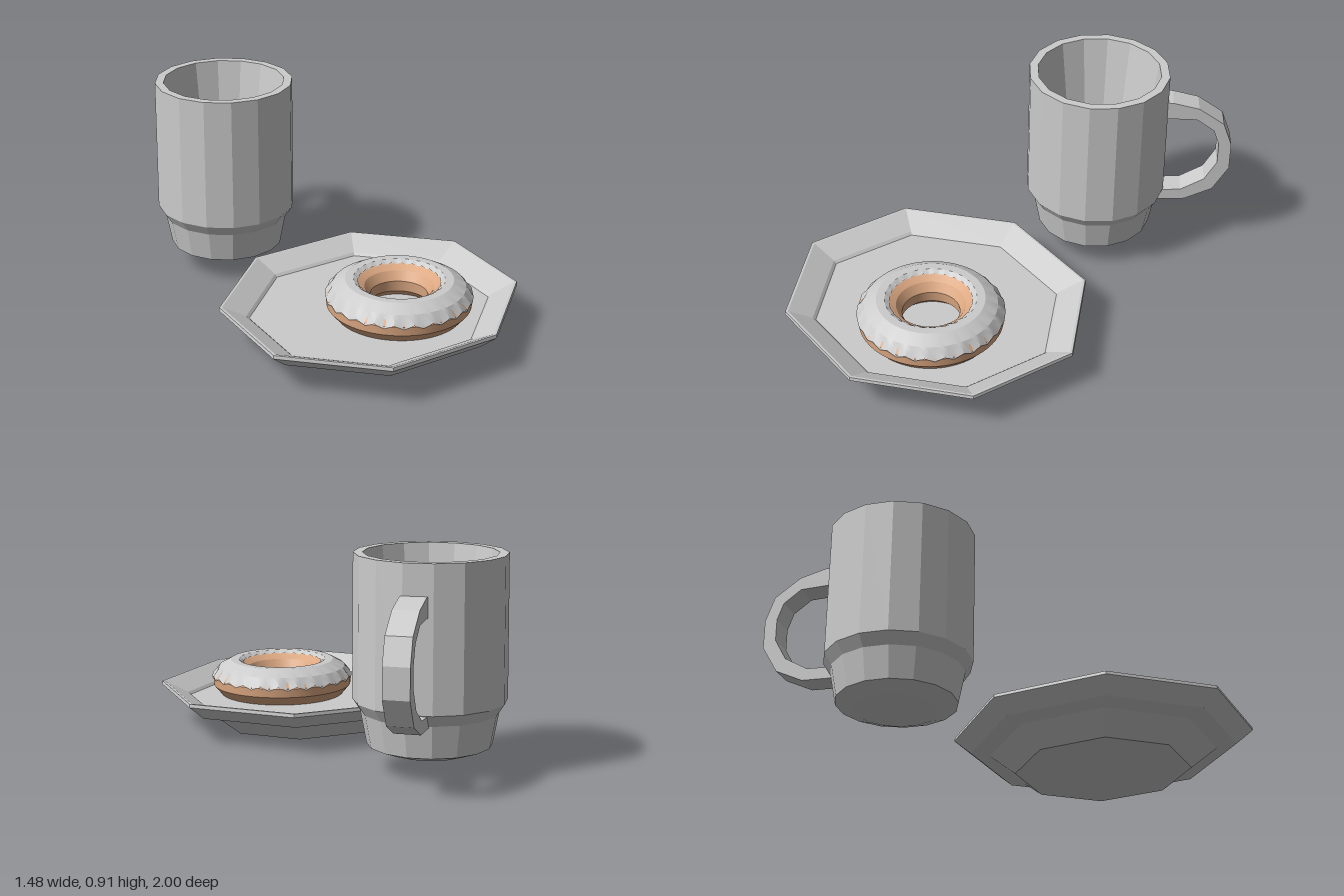
import * as THREE from 'three';
import { toCreasedNormals } from 'three/addons/utils/BufferGeometryUtils.js';

const material = (color, options = {}) => new THREE.MeshStandardMaterial({ color, ...options });

// Revolves [radius, height] pairs; going up on the outside faces outward
const lathe = (profile, sides) =>
  new THREE.LatheGeometry(profile.map(([r, y]) => new THREE.Vector2(r, y)), sides);

function addMesh(parent, name, geometry, mat) {
  const mesh = new THREE.Mesh(geometry, mat);
  mesh.name = name;
  parent.add(mesh);
  return mesh;
}

function createPlate(grey) {
  const profile = [
    [0, 0], [0.41, 0], [0.53, 0.088], [0.62, 0.105], [0.7, 0.168], [0.697, 0.183],
    [0.685, 0.183], [0.575, 0.13], [0.562, 0.118], [0, 0.118],
  ];
  const group = new THREE.Group();
  group.name = 'plate';
  // Octagon slightly squashed from front to back
  addMesh(group, 'plateBody', lathe(profile, 8), grey).scale.z = 0.918;
  group.position.set(-0.04, 0, 0.355);
  return group;
}

function createMug(grey) {
  const group = new THREE.Group();
  group.name = 'mug';

  // Hollow cup with a narrower foot
  const profile = [
    [0, 0.08], [0.18, 0.08], [0.262, 0.11], [0.289, 0.25], [0.322, 0.3], [0.319, 0.91],
    [0.28, 0.91], [0.165, 0.13], [0, 0.13],
  ];
  addMesh(group, 'mugBody', lathe(profile, 16), grey);

  // Angular handle: outer edge downwards, inner edge back up
  const outline = [
    [0.29, 0.78], [0.34, 0.778], [0.457, 0.75], [0.574, 0.67], [0.615, 0.56], [0.615, 0.43],
    [0.545, 0.31], [0.42, 0.25], [0.27, 0.243],
    [0.27, 0.295], [0.4, 0.303], [0.505, 0.365], [0.558, 0.46], [0.558, 0.56],
    [0.53, 0.635], [0.45, 0.692], [0.29, 0.695],
  ];
  const shape = new THREE.Shape(outline.map(([x, y]) => new THREE.Vector2(x, y)));
  const handle = new THREE.ExtrudeGeometry(shape, { depth: 0.11, bevelEnabled: false });
  handle.translate(0, 0, -0.055);
  addMesh(group, 'mugHandle', handle, grey).rotation.y = THREE.MathUtils.degToRad(31);

  group.position.set(0.182, 0, -0.634);
  return group;
}

function createDoughnut() {
  const group = new THREE.Group();
  group.name = 'doughnut';

  // Faceted ring section, closed on itself
  const dough = [
    [0.165, 0.115], [0.28, 0.115], [0.318, 0.16], [0.32, 0.2], [0.287, 0.243], [0.235, 0.268],
    [0.2, 0.268], [0.152, 0.24], [0.126, 0.2], [0.13, 0.15], [0.165, 0.115],
  ];
  addMesh(group, 'dough', toCreasedNormals(lathe(dough, 64), 0.35), material(0xdca882));

  // Icing shell: wavy lower edge, with dough peeping through in patches
  const rows = [[0.324, 0.2], [0.309, 0.222], [0.291, 0.245], [0.237, 0.275], [0.2, 0.275], [0.18, 0.262]];
  const icing = lathe(rows, 96);
  const p = icing.attributes.position;
  for (let i = 0; i < p.count; i++) {
    const row = i % rows.length;
    const angle = Math.atan2(p.getX(i), p.getZ(i));
    const wave = Math.cos(24 * angle);
    if (row === 0) p.setY(i, p.getY(i) + 0.008 * wave);
    if (row === 5) p.setY(i, p.getY(i) + 0.003 * wave);
    if (row === 1) {
      const s = 1 + 0.02 * (wave - 0.2) * (0.7 + 0.3 * Math.cos(5 * angle));
      p.setX(i, p.getX(i) * s);
      p.setZ(i, p.getZ(i) * s);
    }
  }
  addMesh(group, 'icing', toCreasedNormals(icing, 0.4), material(0xcccccc, { side: THREE.DoubleSide }));

  group.position.set(0.01, 0, 0.472);
  return group;
}

export function createModel() {
  const grey = material(0xcccccc, { flatShading: true });
  const model = new THREE.Group();
  model.name = 'mugAndDoughnut';
  model.add(createPlate(grey), createMug(grey), createDoughnut());
  return model;
}
